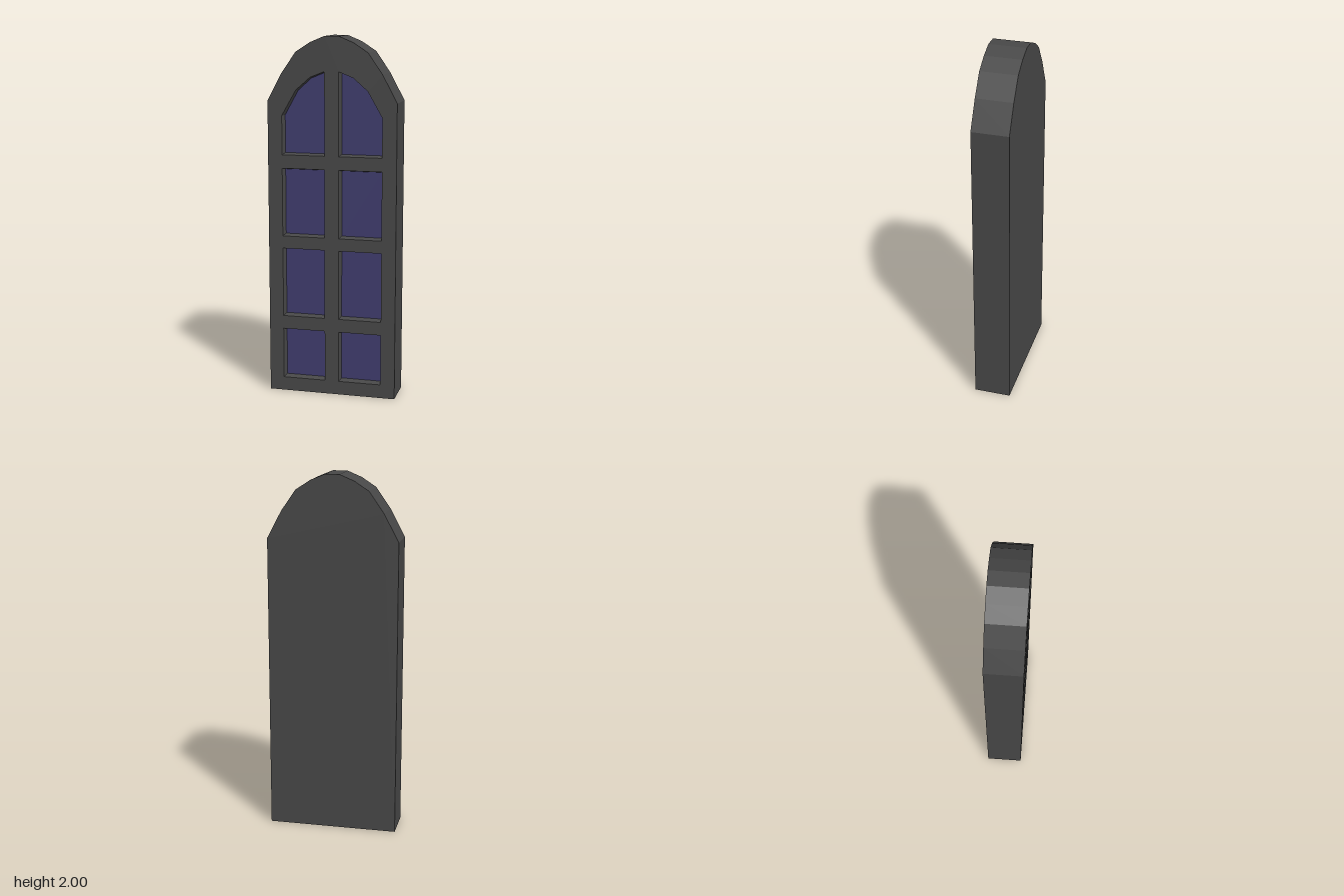
import * as THREE from 'three';

const FRONT = 0.102, BACK = -0.102, GLASS = 0.062, TAPER = 0.008;

const vecs = (list) => list.map(([x, y]) => new THREE.Vector2(x, y));
const mirror = (pts) => pts.map((p) => new THREE.Vector2(-p.x, p.y)).reverse();

// Flat strip of quads joining two matching loops at different depths
function band(a, za, b, zb) {
  const pos = [];
  a.forEach((p, i) => {
    const j = (i + 1) % a.length;
    const q = a[j], r = b[j], s = b[i];
    pos.push(p.x, p.y, za, q.x, q.y, za, r.x, r.y, zb);
    pos.push(p.x, p.y, za, r.x, r.y, zb, s.x, s.y, zb);
  });
  const g = new THREE.BufferGeometry();
  g.setAttribute('position', new THREE.Float32BufferAttribute(pos, 3));
  g.computeVertexNormals();
  return g;
}

// Shrinks an opening evenly towards the middle of its bounds
function inset(pts, t) {
  const box = new THREE.Box2().setFromPoints(pts);
  const c = box.getCenter(new THREE.Vector2());
  const s = box.getSize(new THREE.Vector2());
  return pts.map((p) => new THREE.Vector2(
    c.x + (p.x - c.x) * (1 - 2 * t / s.x),
    c.y + (p.y - c.y) * (1 - 2 * t / s.y)));
}

export function createModel() {
  const group = new THREE.Group();
  const stone = new THREE.MeshStandardMaterial({ color: 0x484848 });
  const glass = new THREE.MeshStandardMaterial({ color: 0x403d6e });
  const add = (name, geometry, material) => {
    const mesh = new THREE.Mesh(geometry, material);
    mesh.name = name;
    group.add(mesh);
    return mesh;
  };

  // Arched outline, counter-clockwise
  const half = vecs([[0.36, 0], [0.36, 1.65], [0.28, 1.8], [0.2, 1.915], [0.12, 1.967], [0.04, 2]]);
  const outline = [...half, ...mirror(half)];

  // Four openings per side: three rectangles and an arched top
  const rightOpenings = [[0.077, 0.365], [0.44, 0.83], [0.9, 1.28]].map(([y0, y1]) =>
    vecs([[0.04, y0], [0.28, y0], [0.28, y1], [0.04, y1]]));
  rightOpenings.push(vecs([[0.04, 1.355], [0.28, 1.355], [0.28, 1.57],
    [0.2, 1.71], [0.12, 1.78], [0.04, 1.812]]));
  const openings = [...rightOpenings, ...rightOpenings.map(mirror)];

  // Frame front with glazing bars
  const face = new THREE.Shape(outline);
  openings.forEach((o) => face.holes.push(new THREE.Path(o)));
  add('frameFront', new THREE.ShapeGeometry(face), stone).position.z = FRONT;

  // Outer sides and back
  add('frameSides', band(outline, BACK, outline, FRONT), stone);
  const back = add('frameBack', new THREE.ShapeGeometry(new THREE.Shape(outline)), stone);
  back.rotation.y = Math.PI;
  back.position.z = BACK;

  // Tapered reveals and recessed panes
  openings.forEach((o) => {
    const inner = inset(o, TAPER);
    add('reveal', band(o, FRONT, inner, GLASS), stone);
    add('glassPane', new THREE.ShapeGeometry(new THREE.Shape(inner)), glass).position.z = GLASS;
  });
  return group;
}
